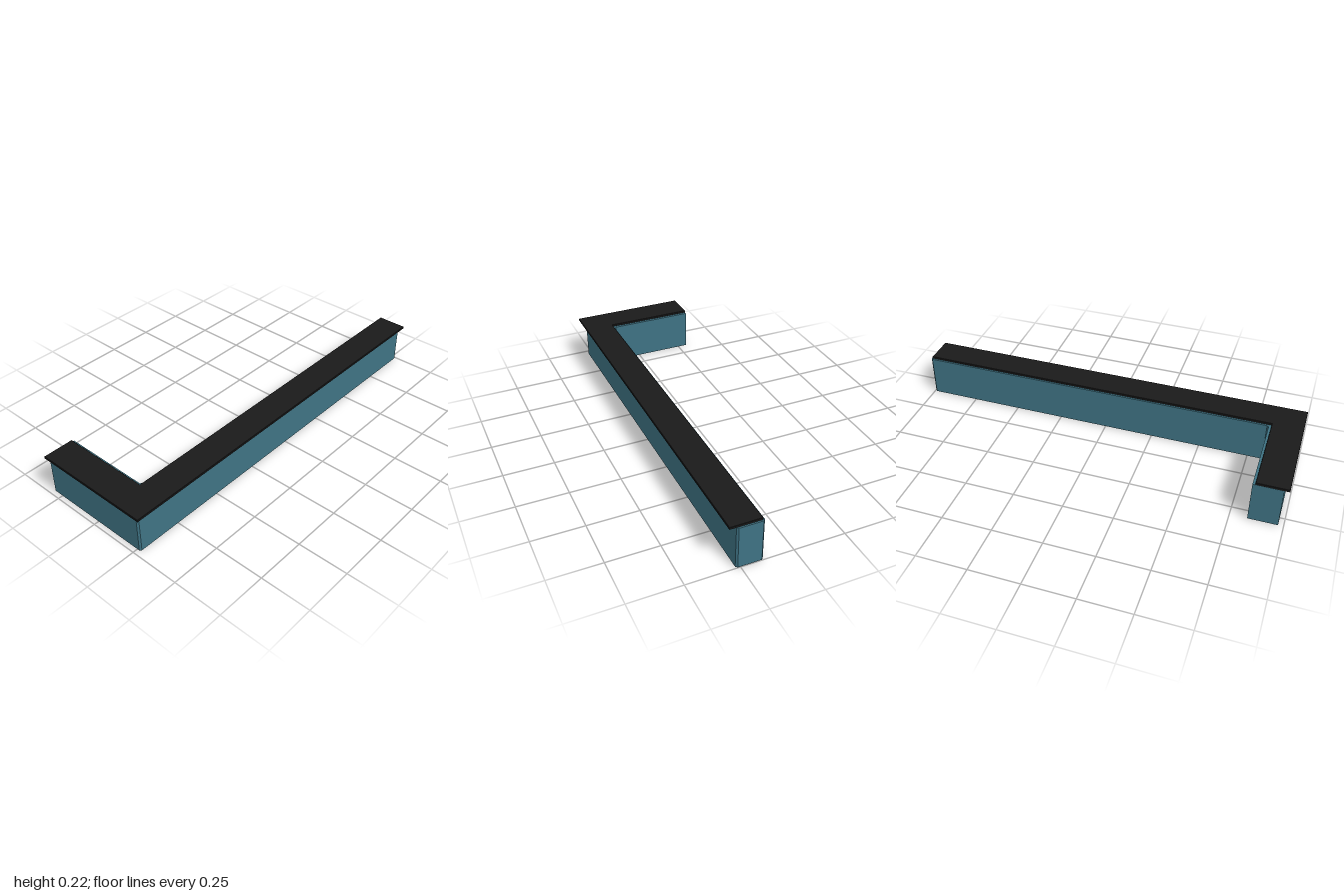
import * as THREE from 'three';

// Extrudes a floor plan of [x, z] points upward from y0 to y1, with a small edge bevel
function extrudePlan(points, y0, y1, bevel = 0) {
  const shape = new THREE.Shape(points.map(([x, z]) => new THREE.Vector2(x, -z)));
  const geometry = new THREE.ExtrudeGeometry(shape, {
    depth: y1 - y0 - 2 * bevel,
    bevelEnabled: bevel > 0,
    bevelSize: bevel,
    bevelThickness: bevel,
    bevelOffset: -bevel,
    bevelSegments: 1,
  });
  geometry.rotateX(-Math.PI / 2);
  geometry.translate(0, y0 + bevel, 0);
  return geometry;
}

function addPart(group, name, geometry, color) {
  const material = new THREE.MeshStandardMaterial({ color, flatShading: true });
  const mesh = new THREE.Mesh(geometry, material);
  mesh.name = name;
  group.add(mesh);
}

export function createModel() {
  const group = new THREE.Group();
  group.name = 'cornerCounter';

  // L-shaped cabinet with narrow chamfers on its upright corners
  const c = 0.008;
  const left = -0.975, right = 0.998, inner = -0.833;
  const front = 0.27, back = 0.143, rear = -0.301;
  addPart(group, 'counterBase', extrudePlan([
    [left + c, front], [right - c, front], [right, front - c],
    [right, back + c], [right - c, back],
    [inner + c, back], [inner, back - c],
    [inner, rear], [left, rear], [left, front - c],
  ], 0, 0.21), 0x3f7384);

  // Thin worktop overhanging the outer sides
  addPart(group, 'worktop', extrudePlan([
    [-1, 0.302], [0.992, 0.302], [0.992, 0.151],
    [-0.846, 0.151], [-0.846, -0.302], [-1, -0.302],
  ], 0.21, 0.222, 0.0015), 0x1a1a1a);

  return group;
}
